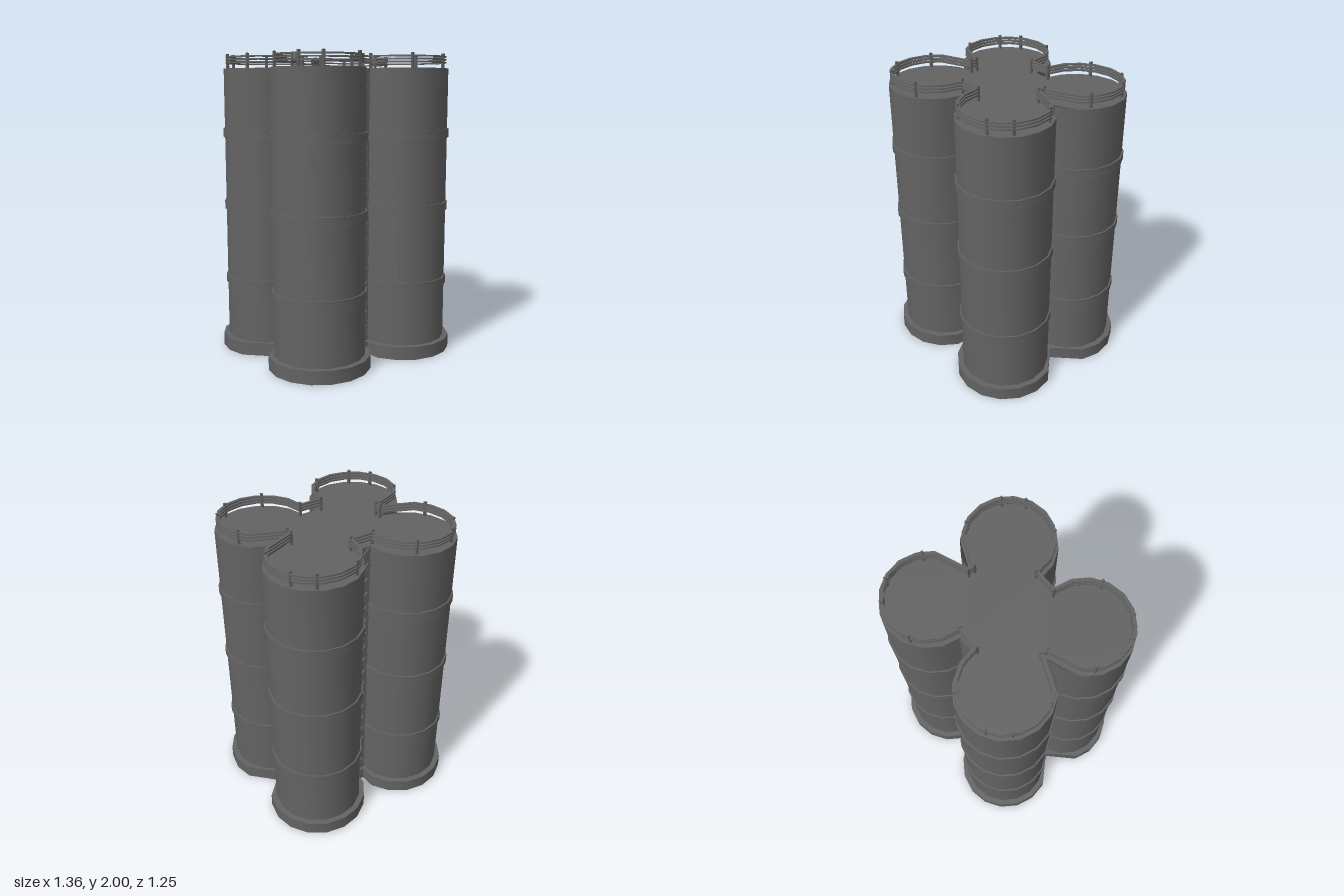
import * as THREE from 'three';
import { toCreasedNormals } from 'three/addons/utils/BufferGeometryUtils.js';

const CX = 0.347, CZ = 0.295, R = 0.295, TOP = 1.905, BASE = 0.088;
const STEP = Math.PI / 8; // lobes are 16-sided
const mat = new THREE.MeshStandardMaterial({ color: 0x636363, side: THREE.DoubleSide });

// Closed four-lobed outline: one quadrant from notch to pinch, then mirrored
function clover(r, notch, pinch, arcSteps) {
  const q = [notch];
  for (let i = 0; i < arcSteps; i++) {
    const a = Math.PI - STEP * (i + 1);
    q.push([CX + r * Math.cos(a), CZ + r * Math.sin(a)]);
  }
  q.push(pinch);
  const mirrored = q.map(([x, z]) => [x, -z]).reverse().slice(pinch[1] === 0 ? 1 : 0);
  const half = [...q, ...mirrored];
  return [...half, ...half.map(([x, z]) => [-x, -z])].map(([x, z]) => new THREE.Vector2(x, z));
}

// Ring between two outlines, standing on height y
function ring(outer, inner, y, height) {
  const shape = new THREE.Shape(outer);
  shape.holes.push(new THREE.Path(inner));
  const g = new THREE.ExtrudeGeometry(shape, { depth: height, bevelEnabled: false });
  g.rotateX(-Math.PI / 2).translate(0, y, 0);
  return toCreasedNormals(g, 0.6);
}

// Three-quarter round shell swept from a radius/height profile
function lobe(profile) {
  const pts = profile.map(([r, y]) => new THREE.Vector2(r, y));
  return toCreasedNormals(new THREE.LatheGeometry(pts, 12, -Math.PI / 2, Math.PI * 1.5), 0.6);
}

export function createModel() {
  const model = new THREE.Group();
  const add = (name, geo, parent = model) => {
    const m = new THREE.Mesh(geo, mat);
    m.name = name;
    parent.add(m);
    return m;
  };

  // Four silo walls, each with three hoops
  const wall = lobe([[R, BASE - 0.004], [R, TOP]]);
  const hoops = [0.454, 0.966, 1.454].map(y =>
    lobe([[R - 0.002, y], [R + 0.01, y], [R + 0.01, y + 0.058], [R - 0.002, y + 0.058]]));
  [[1, 1], [1, -1], [-1, -1], [-1, 1]].forEach(([sx, sz], k) => {
    const silo = new THREE.Group();
    silo.name = 'silo';
    silo.position.set(sx * CX, 0, sz * CZ);
    silo.rotation.y = k * Math.PI / 2;
    add('siloWall', wall, silo);
    hoops.forEach(h => add('hoop', h, silo));
    model.add(silo);
  });

  // Hollow foundation: thin skirt and the ledge on top of it
  const wallOutline = clover(R, [0.052, 0.295], [0.347, 0], 10);
  const skirtOutline = clover(0.332, [0.035, 0.318], [0.489, 0], 9);
  const skirtInside = clover(0.328, [0.038, 0.314], [0.482, 0], 9);
  add('foundationSkirt', ring(skirtOutline, skirtInside, 0, BASE));
  add('foundationLedge', ring(skirtOutline, wallOutline, BASE - 0.004, 0.004));

  // Shared roof
  const roof = new THREE.ShapeGeometry(new THREE.Shape(wallOutline));
  add('roof', roof.rotateX(-Math.PI / 2).translate(0, TOP, 0));

  // Railing: three rails and posts
  const railing = new THREE.Group();
  railing.name = 'railing';
  model.add(railing);
  const railOuter = clover(0.281, [0.067, 0.29], [0.338, 0.012], 10);
  const railInner = clover(0.259, [0.083, 0.272], [0.322, 0.028], 10);
  for (const y of [1.937, 1.956, 1.975]) add('rail', ring(railOuter, railInner, y, 0.01), railing);
  const post = new THREE.BoxGeometry(0.016, 2 - TOP, 0.016);
  const spots = [[0.078, 0.278], [0.212, 0.53], [0.477, 0.53], [0.58, 0.425], [0.58, 0.162], [0.328, 0.022]];
  for (const [x, z] of spots)
    for (const sx of [1, -1]) for (const sz of [1, -1])
      add('post', post, railing).position.set(sx * x, (TOP + 2) / 2, sz * z);

  // Panels with crossed bracing fill the gaps at front and back
  const panel = new THREE.PlaneGeometry(0.108, TOP - BASE);
  const bar = new THREE.BoxGeometry(0.13, 0.025, 0.016);
  for (const side of [1, -1]) {
    const lattice = new THREE.Group();
    lattice.name = side > 0 ? 'frontLattice' : 'backLattice';
    lattice.position.z = side * 0.298;
    lattice.rotation.y = side > 0 ? 0 : Math.PI;
    model.add(lattice);
    add('panel', panel, lattice).position.y = (TOP + BASE) / 2;
    for (let i = 0; i < 18; i++) {
      for (const lean of [1, -1]) {
        const b = add('brace', bar, lattice);
        b.position.set(0, 0.146 + i * 0.1, lean * 0.001);
        b.rotation.z = lean * Math.PI / 4;
      }
    }
  }
  return model;
}
